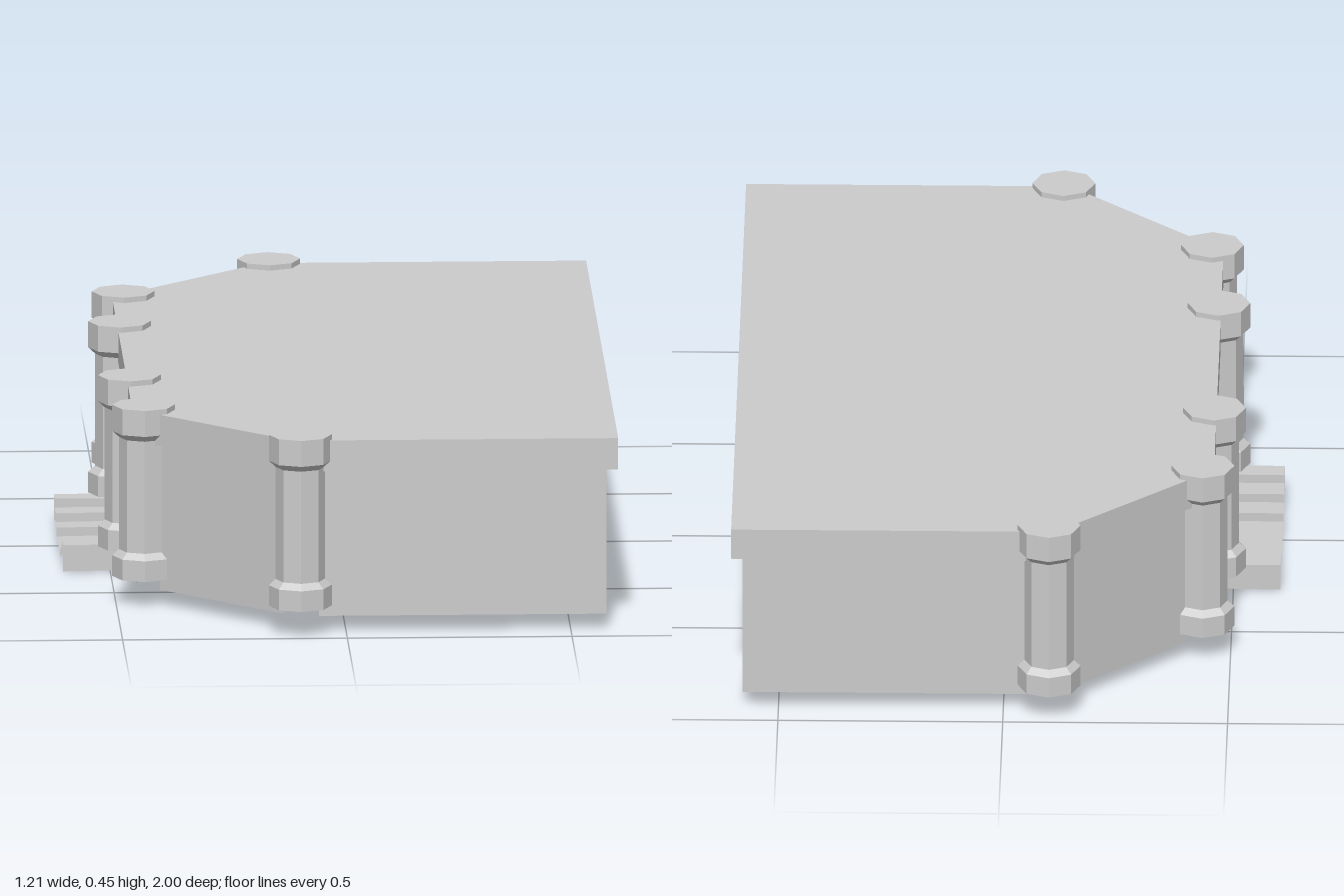
import * as THREE from 'three';

const material = new THREE.MeshStandardMaterial({ color: 0xcccccc, flatShading: true, side: THREE.DoubleSide });

function addMesh(group, geometry, name) {
  const mesh = new THREE.Mesh(geometry, material);
  mesh.name = name;
  group.add(mesh);
  return mesh;
}

// Sheet joining rows of [x, y, z] points
function sheet(rows) {
  const n = rows[0].length, index = [];
  for (let r = 0; r < rows.length - 1; r++) {
    for (let i = 0; i < n - 1; i++) {
      const a = r * n + i, b = a + n;
      index.push(a, a + 1, b, a + 1, b + 1, b);
    }
  }
  const geometry = new THREE.BufferGeometry();
  geometry.setAttribute('position', new THREE.Float32BufferAttribute(rows.flat(2), 3));
  geometry.setIndex(index);
  geometry.computeVertexNormals();
  return geometry;
}

// Vertical panel between two [x, z] points
const panel = (a, b, y0, y1) => sheet([y0, y1].map(y => [a, b].map(([x, z]) => [x, y, z])));

// Horizontal plate from an outline of [x, z] points
function plate(outline, y) {
  const shape = new THREE.Shape(outline.map(([x, z]) => new THREE.Vector2(x, -z)));
  return new THREE.ShapeGeometry(shape).rotateX(-Math.PI / 2).translate(0, y, 0);
}

// Full outline from the half on +z
const mirrored = half => [...half, ...half.map(([x, z]) => [x, -z]).reverse()];

export function createModel() {
  const model = new THREE.Group();
  model.name = 'pavilion';

  // Roof cover: top plate and a hanging fascia, open at the straight side
  const roof = mirrored([[0.605, 0.94], [-0.115, 0.94], [-0.463, 0.597]]);
  addMesh(model, plate(roof, 0.437), 'roofTop');
  addMesh(model, sheet([0.366, 0.437].map(y => roof.map(([x, z]) => [x, y, z]))), 'roofFascia');

  // Ceiling just under the roof
  const inner = mirrored([[0.603, 0.925], [-0.105, 0.925], [-0.45, 0.59]]);
  addMesh(model, plate(inner, 0.42), 'ceiling');

  // Eight-sided columns, open below
  const profile = [[0.07, 0.06], [0.07, 0.107], [0.055, 0.121], [0.055, 0.376], [0.07, 0.39], [0.07, 0.449], [0, 0.449]]
    .map(([r, y]) => new THREE.Vector2(r, y));
  const columnGeometry = new THREE.LatheGeometry(profile, 8);
  const spots = [[-0.102, 0.93], [-0.438, 0.6], [-0.458, 0.285]];
  for (const side of [1, -1]) {
    for (const [x, z] of spots) addMesh(model, columnGeometry, 'column').position.set(x, 0, z * side);

    // Wall panels running into the columns
    const walls = [
      [[0.58, 0.925], [-0.06, 0.925]],
      [[-0.138, 0.898], [-0.403, 0.635]],
      [[-0.452, 0.58], [-0.452, 0.32]],
    ];
    for (const [a, b] of walls) {
      addMesh(model, panel([a[0], a[1] * side], [b[0], b[1] * side], 0.035, 0.42), 'wallPanel');
    }
  }
  addMesh(model, panel([-0.452, 0.25], [-0.452, -0.25], 0.055, 0.42), 'middleWall');

  // Entrance floor: level rim with a skirt, and steps sinking inwards from three sides
  const front = -0.605, back = 0.525, rim = 0.06;
  const base = x => 0.017 * (x - front) / (back - front);
  const row = (x, z, height) => [[front, -z], [x, -z], [x, z], [front, z]].map(([px, pz]) => [px, height(px), pz]);
  const rows = [row(back, 0.27, base)];
  const ends = [[back, 0.27], [0.47, 0.22], [0.41, 0.16], [0.35, 0.1], [0.3, 0]];
  for (let i = 0; i < 4; i++) {
    const level = x => rim + (base(x) - rim) * i / 3;
    rows.push(row(...ends[i], level), row(...ends[i + 1], level));
  }
  addMesh(model, sheet(rows), 'entranceSteps');

  // Small stop at the inner end of the steps
  addMesh(model, new THREE.BoxGeometry(0.06, 0.03, 0.04), 'stepStop').position.set(0.49, 0.035, 0);

  return model;
}
